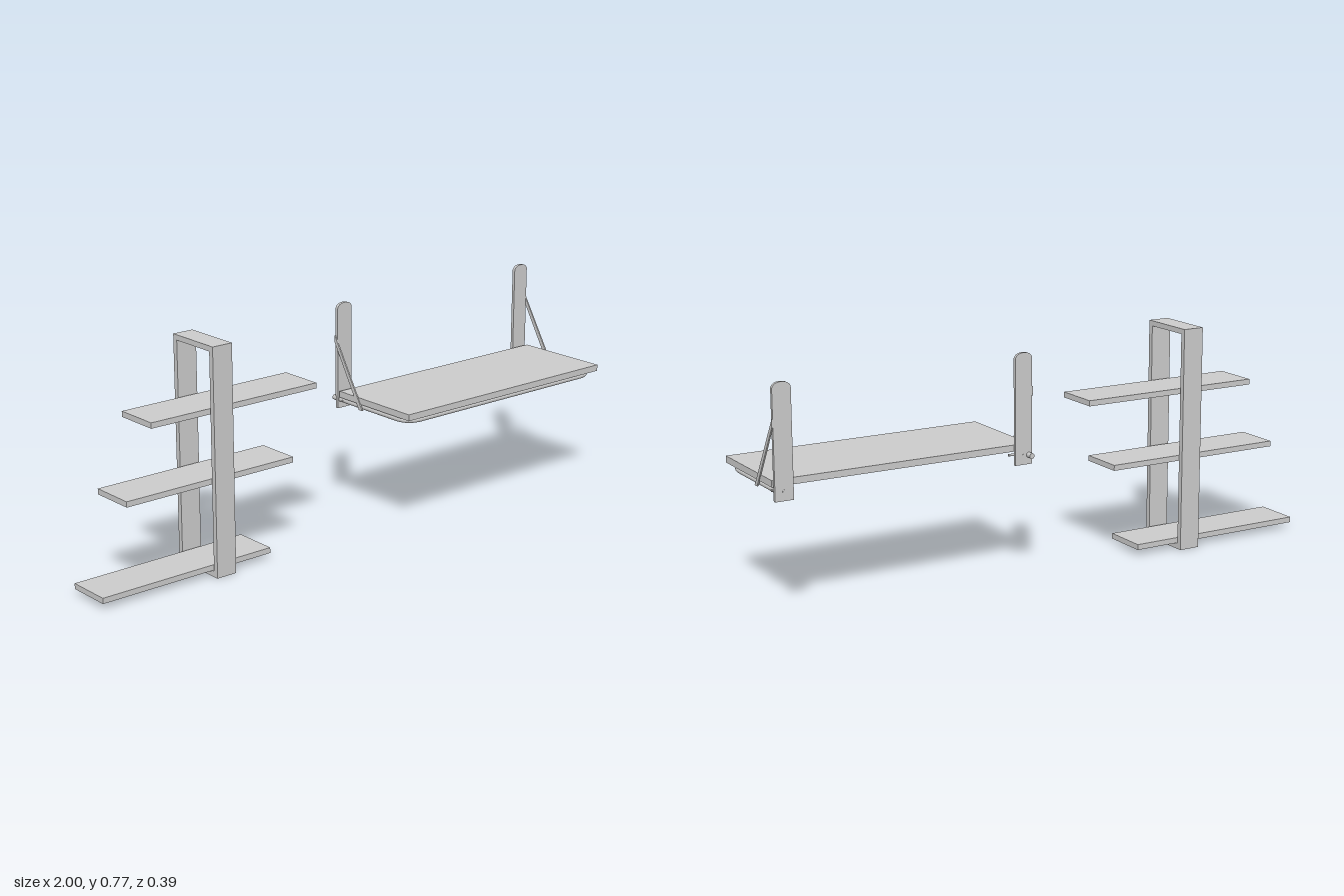
import * as THREE from 'three';

const material = new THREE.MeshStandardMaterial({ color: 0xcccccc });

function add(parent, name, geometry) {
  const mesh = new THREE.Mesh(geometry, material);
  mesh.name = name;
  parent.add(mesh);
  return mesh;
}

// Box given by its min and max on each axis
function box(parent, name, [x0, x1], [y0, y1], [z0, z1]) {
  const mesh = add(parent, name, new THREE.BoxGeometry(x1 - x0, y1 - y0, z1 - z0));
  mesh.position.set((x0 + x1) / 2, (y0 + y1) / 2, (z0 + z1) / 2);
}

function createShelfUnit() {
  const unit = new THREE.Group();
  unit.name = 'shelfUnit';

  // Upright rectangular hoop
  const outline = new THREE.Shape();
  outline.moveTo(-0.032, 0).lineTo(0.175, 0).lineTo(0.175, 0.77).lineTo(-0.032, 0.77).closePath();
  const opening = new THREE.Path();
  opening.moveTo(-0.014, 0.02).lineTo(-0.014, 0.752).lineTo(0.157, 0.752).lineTo(0.157, 0.02).closePath();
  outline.holes.push(opening);
  const hoop = add(unit, 'uprightFrame', new THREE.ExtrudeGeometry(outline, { depth: 0.075, bevelEnabled: false }));
  hoop.rotation.y = Math.PI / 2;
  hoop.position.x = -0.58;

  // Three staggered boards passing through the hoop
  const boards = [[-1, 0.02], [-0.9, 0.312], [-0.8, 0.545]];
  for (const [x, y] of boards) box(unit, 'shelf', [x, x + 0.656], [y, y + 0.019], [-0.152, 0.006]);
  return unit;
}

// Wall plate, strut, pin and screw; side is +1 for the left end, -1 for the right
function createBracket(side) {
  const bracket = new THREE.Group();
  bracket.name = side > 0 ? 'leftBracket' : 'rightBracket';
  bracket.position.x = 0.543;

  // Wall plate with a gently arched top
  const inner = side * 0.39, outer = side * 0.452;
  const lo = Math.min(inner, outer), hi = Math.max(inner, outer);
  const plate = new THREE.Shape();
  plate.moveTo(lo, 0.388).lineTo(hi, 0.388).lineTo(hi, 0.74);
  plate.quadraticCurveTo(hi - 0.006, 0.757, (lo + hi) / 2, 0.757);
  plate.quadraticCurveTo(lo + 0.006, 0.757, lo, 0.74);
  plate.closePath();
  const wall = add(bracket, 'wallPlate', new THREE.ExtrudeGeometry(plate, { depth: 0.011, bevelEnabled: false }));
  wall.position.z = -0.175;

  // Flat diagonal strut on the outer side
  const bar = new THREE.Shape();
  bar.moveTo(0.175, 0.645).lineTo(0.032, 0.41).lineTo(0.05, 0.41).lineTo(0.175, 0.62).closePath();
  const strut = add(bracket, 'strut', new THREE.ExtrudeGeometry(bar, { depth: 0.005, bevelEnabled: false }));
  strut.rotation.y = Math.PI / 2;
  strut.position.x = side > 0 ? 0.451 : -0.456;

  // Short hinge pin under the desk
  const pin = add(bracket, 'hingePin', new THREE.CylinderGeometry(0.004, 0.004, 0.07, 12));
  pin.rotation.z = Math.PI / 2;
  pin.position.set(side * 0.416, 0.418, -0.145);

  // Screw head on the back of the plate
  const screw = add(bracket, 'screw', new THREE.CylinderGeometry(0.006, 0.006, 0.002, 16));
  screw.rotation.x = Math.PI / 2;
  screw.position.set(side * 0.421, 0.418, -0.175);
  return bracket;
}

function createDesk() {
  const desk = new THREE.Group();
  desk.name = 'wallDesk';
  box(desk, 'deskTop', [0.09, 0.996], [0.43, 0.452], [-0.153, 0.198]);

  // U-shaped tube with rounded front corners; the right end runs through the wall plate
  const y = 0.419, left = 0.982, right = 0.104, front = 0.178, r = 0.06;
  const v = (x, z) => new THREE.Vector3(x, y, z);
  const path = new THREE.CurvePath();
  path.add(new THREE.LineCurve3(v(right, -0.197), v(right, front - r)));
  path.add(new THREE.QuadraticBezierCurve3(v(right, front - r), v(right, front), v(right + r, front)));
  path.add(new THREE.LineCurve3(v(right + r, front), v(left - r, front)));
  path.add(new THREE.QuadraticBezierCurve3(v(left - r, front), v(left, front), v(left, front - r)));
  path.add(new THREE.LineCurve3(v(left, front - r), v(left, -0.175)));
  add(desk, 'supportTube', new THREE.TubeGeometry(path, 200, 0.009, 16, false));

  // Tube end caps
  for (const [x, z] of [[right, -0.197], [left, -0.175]]) {
    const cap = add(desk, 'tubeCap', new THREE.CircleGeometry(0.009, 16));
    cap.rotation.y = Math.PI;
    cap.position.set(x, y, z);
  }

  desk.add(createBracket(1), createBracket(-1));
  return desk;
}

export function createModel() {
  const model = new THREE.Group();
  model.name = 'shelfAndDesk';
  model.add(createShelfUnit(), createDesk());
  return model;
}
